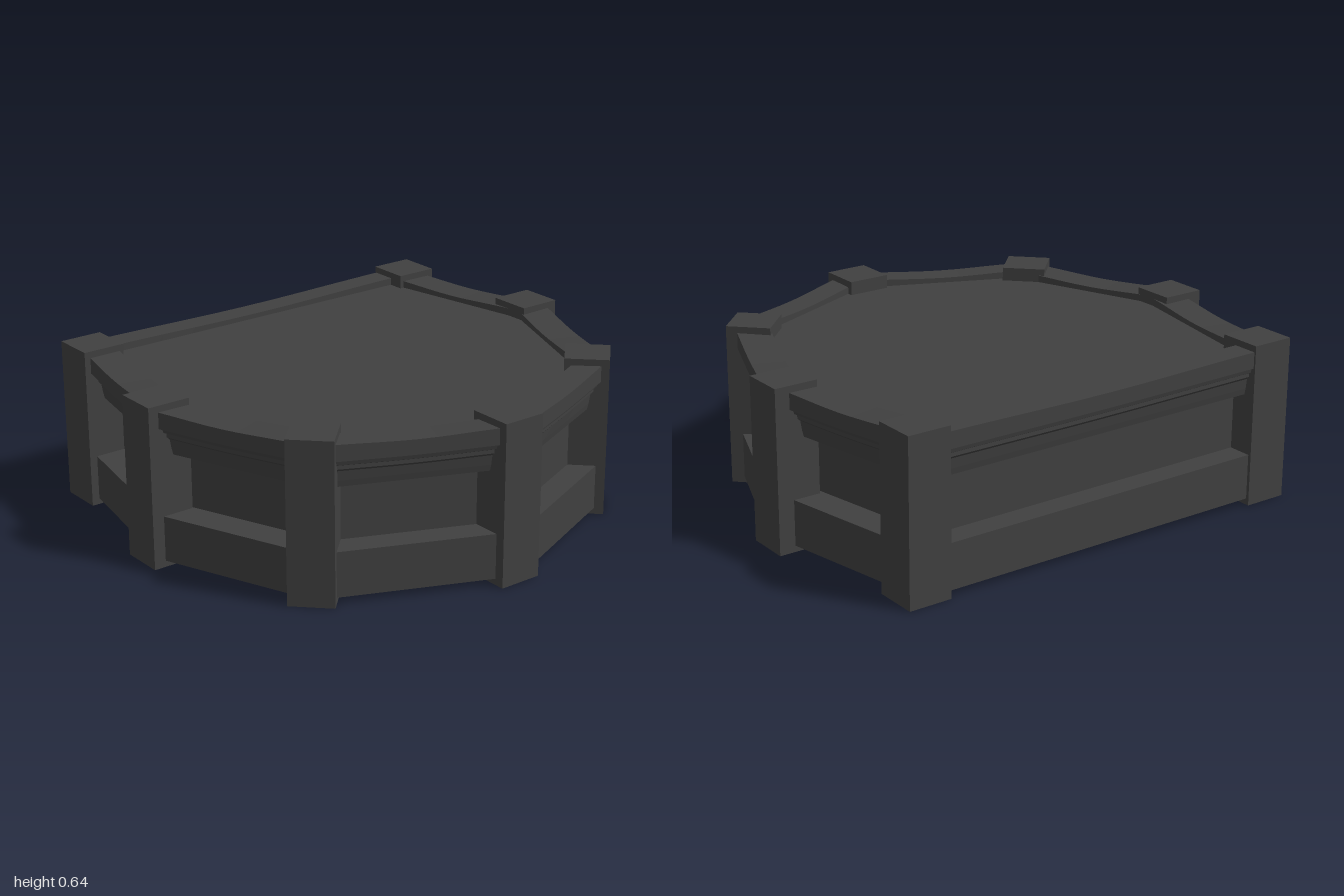
import * as THREE from 'three';

const POST = 0.175, POST_H = 0.645;

// Post centres [x, z], clockwise seen from above, starting at the front; third value is the turn
const posts = [
  [0, 0.78, 0], [-0.663, 0.495, Math.PI / 4], [-0.91, -0.135, 0], [-0.785, -0.785, 0],
  [0.785, -0.785, 0], [0.91, -0.135, 0], [0.663, 0.495, Math.PI / 4],
];

// Wall plane offset from the post centre line, and how far the mouldings project from it
const sides = [
  [-0.024, 0.108], [-0.055, 0.13], [-0.085, 0.13], [-0.022, 0.102],
  [-0.085, 0.13], [-0.055, 0.13], [-0.024, 0.108],
];

// Moulding sections: [fraction of projection, height]
const cornice = [
  [0, 0.44], [0.58, 0.44], [0.63, 0.465], [0.68, 0.505], [0.77, 0.515], [0.77, 0.53],
  [0.86, 0.535], [0.9, 0.552], [1, 0.555], [1, 0.62], [0, 0.62],
];
const plinth = [[0, 0.025], [0.95, 0.025], [0.95, 0.205], [0, 0.205]];

export function createModel() {
  const group = new THREE.Group();
  group.name = 'bayPlatform';
  const material = new THREE.MeshStandardMaterial({ color: 0x404040, flatShading: true });
  const add = (name, geometry) => {
    const mesh = new THREE.Mesh(geometry, material);
    mesh.name = name;
    group.add(mesh);
    return mesh;
  };

  // Wall lines between neighbouring posts
  const up = new THREE.Vector3(0, 1, 0);
  const lines = sides.map(([offset, width], i) => {
    const [a, b] = [posts[i], posts[(i + 1) % posts.length]].map(p => new THREE.Vector3(p[0], 0, p[1]));
    const along = b.clone().sub(a);
    const length = along.length();
    along.normalize();
    const out = new THREE.Vector3().crossVectors(up, along);
    return { start: a.addScaledVector(out, offset), along, out, length, width };
  });

  // Sweep a section along one wall, with a gentle sag in its top edge
  const moulding = (name, section, line, sag) => {
    const shape = new THREE.Shape(section.map(([d, y]) => new THREE.Vector2(d * line.width, y)));
    const geometry = new THREE.ExtrudeGeometry(shape, { depth: line.length, steps: 10, bevelEnabled: false });
    const p = geometry.attributes.position;
    for (let i = 0; i < p.count; i++) {
      if (p.getY(i) > 0.5) {
        const drop = Math.sin(Math.PI * p.getZ(i) / line.length) ** 2;
        p.setY(i, p.getY(i) - sag * drop * (p.getY(i) > 0.6 ? 1 : 0.4));
      }
    }
    geometry.applyMatrix4(new THREE.Matrix4().makeBasis(line.out, up, line.along).setPosition(line.start));
    geometry.computeVertexNormals();
    add(name, geometry);
  };
  lines.forEach(line => {
    moulding('cornice', cornice, line, 0.01);
    moulding('plinth', plinth, line, 0);
  });

  // Core body with the deck on top: corners are where neighbouring wall lines cross
  const corners = lines.map((line, i) => {
    const prev = lines[(i + lines.length - 1) % lines.length];
    const c1 = prev.out.dot(prev.start), c2 = line.out.dot(line.start);
    const det = prev.out.x * line.out.z - prev.out.z * line.out.x;
    const x = (c1 * line.out.z - c2 * prev.out.z) / det;
    const z = (prev.out.x * c2 - line.out.x * c1) / det;
    return new THREE.Vector2(x, -z);
  });
  const body = new THREE.ExtrudeGeometry(new THREE.Shape(corners), { depth: 0.535, bevelEnabled: false });
  body.rotateX(-Math.PI / 2);
  add('wallsAndDeck', body).position.y = 0.055;

  // Square posts at every corner
  posts.forEach(([x, z, turn]) => {
    const post = add('post', new THREE.BoxGeometry(POST, POST_H, POST));
    post.position.set(x, POST_H / 2, z);
    post.rotation.y = turn;
  });

  return group;
}
